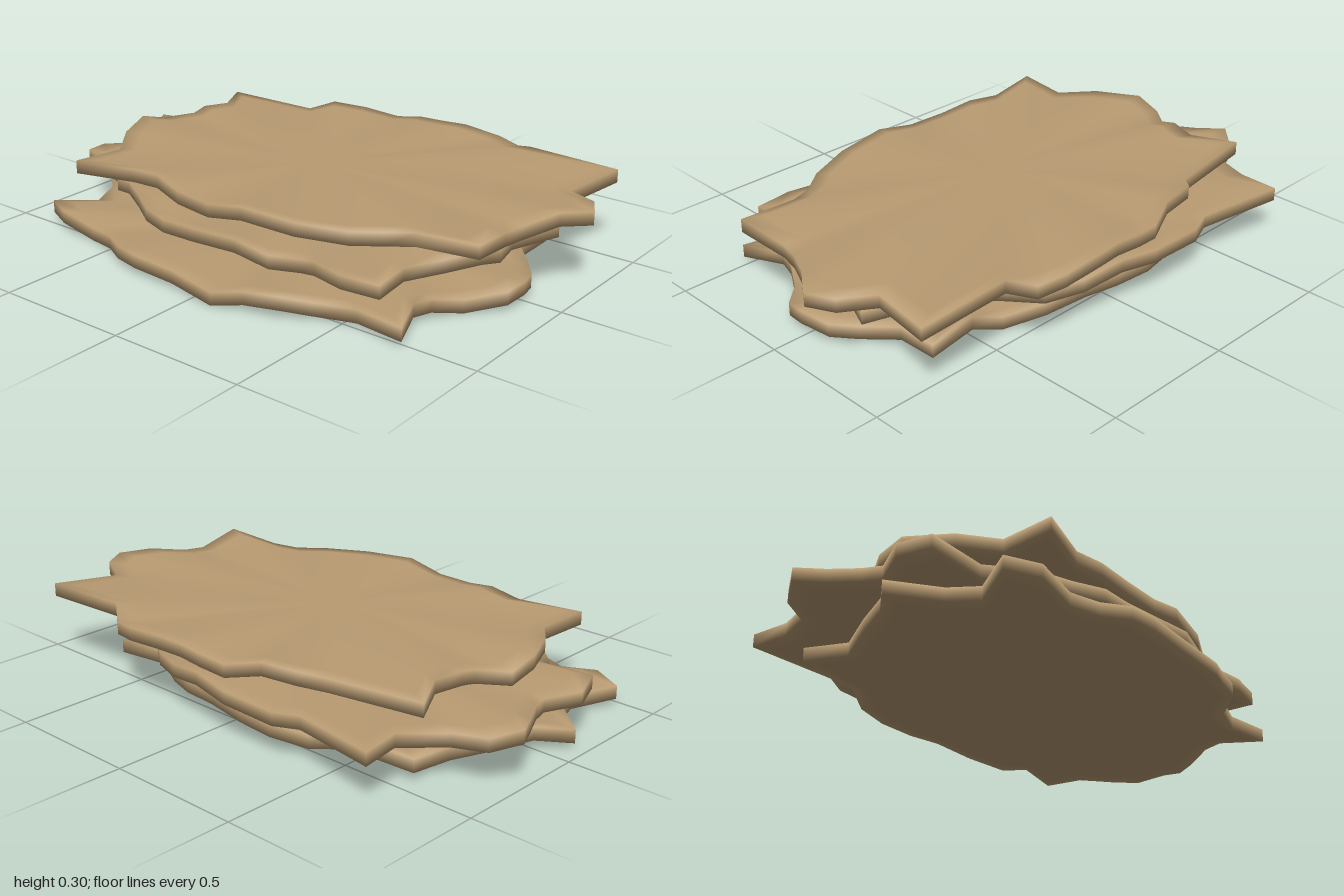
import * as THREE from 'three';

// Outlines as x, z pairs, running back-left, back, right, front, left
const TOP = [
  -0.78, -0.46, -0.43, -0.5, -0.36, -0.57, -0.22, -0.59, -0.1, -0.64, 0, -0.655, 0.1, -0.65,
  0.2, -0.66, 0.35, -0.655, 0.45, -0.63, 0.53, -0.57, 0.88, -0.575, 0.83, -0.33, 0.95, -0.27,
  1, -0.18, 0.93, -0.08, 0.87, 0.04, 0.85, 0.12, 0.875, 0.31, 0.65, 0.32, 0.56, 0.36,
  0.47, 0.43, 0.3, 0.495, 0.1, 0.52, -0.05, 0.515, -0.2, 0.5, -0.32, 0.475, -0.45, 0.46,
  -0.68, 0.515, -0.66, 0.32, -0.75, 0.2, -0.82, 0.04, -0.81, -0.06, -0.73, -0.15, -0.73, -0.21,
  -0.7, -0.31,
];
const MIDDLE = [
  -0.74, -0.67, -0.41, -0.61, -0.32, -0.645, -0.1, -0.645, 0.05, -0.63, 0.2, -0.6, 0.33, -0.55,
  0.45, -0.46, 0.57, -0.34, 0.84, -0.25, 0.76, -0.08, 0.79, 0.04, 0.78, 0.14, 0.7, 0.22,
  0.62, 0.34, 0.66, 0.525, 0.52, 0.54, 0.4, 0.515, 0.33, 0.495, 0.23, 0.54, 0.1, 0.555,
  -0.1, 0.54, -0.25, 0.525, -0.35, 0.505, -0.45, 0.44, -0.56, 0.38, -0.66, 0.34, -0.72, 0.28,
  -0.915, 0.24, -0.95, 0.13, -0.88, 0.02, -0.9, -0.05, -0.95, -0.15, -1, -0.25, -0.93, -0.33,
  -0.82, -0.37, -0.73, -0.53,
];
const BOTTOM = [
  -0.73, -0.44, -0.47, -0.45, -0.35, -0.51, -0.2, -0.54, -0.05, -0.53, 0.1, -0.52, 0.26, -0.49,
  0.4, -0.43, 0.5, -0.39, 0.7, -0.42, 0.69, -0.26, 0.78, -0.16, 0.84, -0.08, 0.875, 0.02,
  0.86, 0.1, 0.76, 0.2, 0.7, 0.3, 0.68, 0.37, 0.74, 0.52, 0.55, 0.49, 0.4, 0.53,
  0.33, 0.605, 0.2, 0.63, 0.09, 0.665, -0.1, 0.645, -0.28, 0.64, -0.38, 0.62, -0.48, 0.56,
  -0.6, 0.53, -0.75, 0.53, -0.87, 0.47, -0.78, 0.33, -0.82, 0.22, -0.96, 0.09, -0.86, 0,
  -0.8, -0.12, -0.72, -0.25,
];

// Thin pelt: rings from the top centre over the rim to the bottom centre
function pelt(name, outline, y, phase, material) {
  const n = outline.length / 2;
  const half = 0.024;
  const steps = [0, 0.3, 0.6, 0.8, 0.92, 1];
  const rings = [
    ...steps.map((t) => [t, half]),
    ...steps.slice().reverse().map((t) => [t, -half]),
  ];
  const positions = [];
  const indices = [];
  rings.forEach(([t, side], r) => {
    for (let i = 0; i < n; i++) {
      // Ripples grow towards the rim
      const a = (i / n) * Math.PI * 2;
      const ripple = 0.012 * Math.sin(9 * a + phase) + 0.007 * Math.sin(14 * a + phase * 2);
      positions.push(outline[2 * i] * t, y + side + ripple * t ** 3, outline[2 * i + 1] * t);
      if (r === rings.length - 1) continue;
      const j = (i + 1) % n;
      const a0 = r * n + i;
      const b0 = r * n + j;
      indices.push(a0, b0, b0 + n, a0, b0 + n, a0 + n);
    }
  });
  const geometry = new THREE.BufferGeometry();
  geometry.setAttribute('position', new THREE.Float32BufferAttribute(positions, 3));
  geometry.setIndex(indices);
  geometry.computeVertexNormals();
  const mesh = new THREE.Mesh(geometry, material);
  mesh.name = name;
  return mesh;
}

export function createModel() {
  const group = new THREE.Group();
  group.name = 'hideStack';
  const hide = new THREE.MeshStandardMaterial({ color: 0xb89b72 });
  hide.name = 'tanHide';
  group.add(
    pelt('bottomHide', BOTTOM, 0.044, 0.5, hide),
    pelt('middleHide', MIDDLE, 0.161, 2.1, hide),
    pelt('topHide', TOP, 0.266, 4, hide),
  );
  return group;
}
